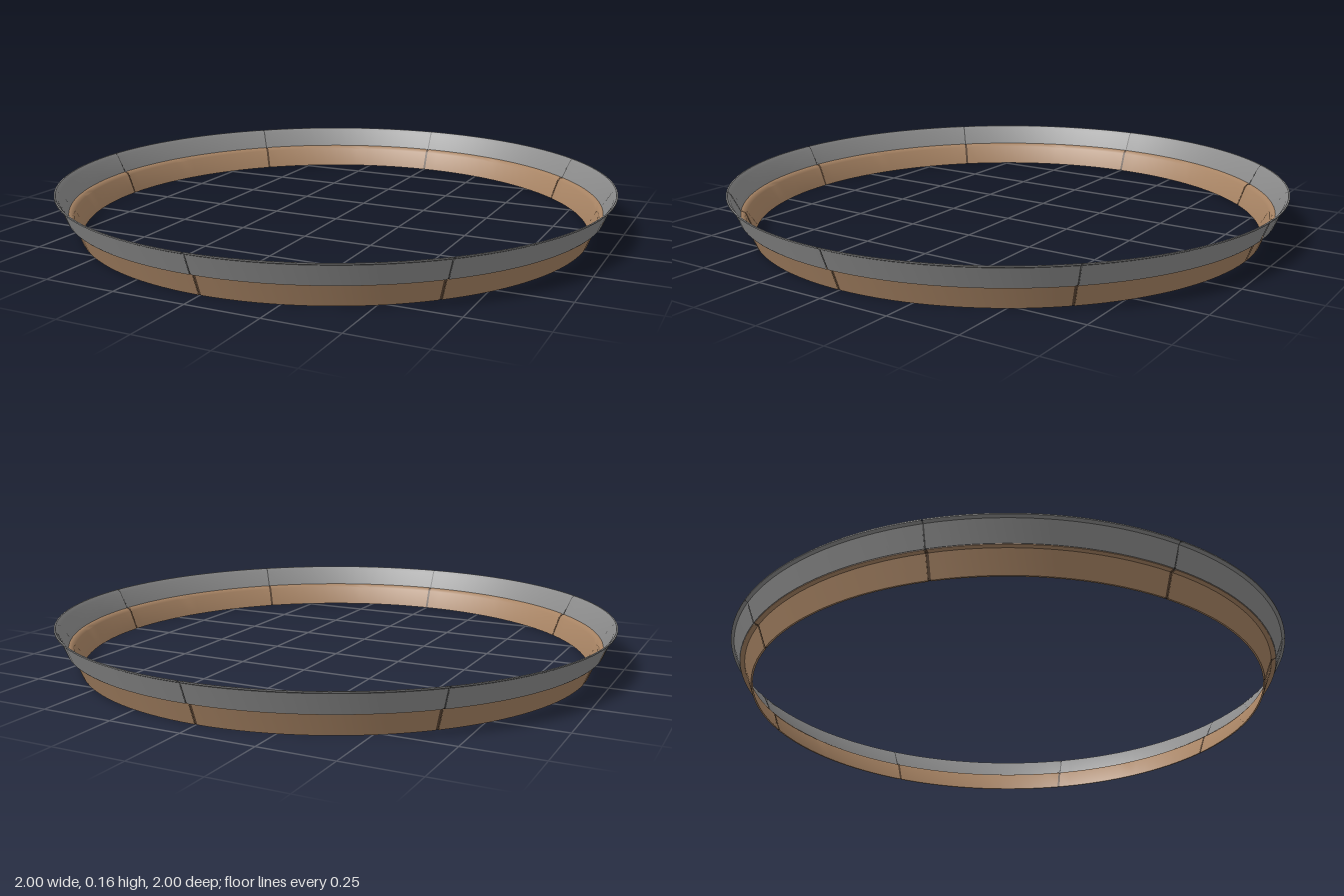
import * as THREE from 'three';
import { toCreasedNormals } from 'three/addons/utils/BufferGeometryUtils.js';

const SECTIONS = 8;
const STEP = (Math.PI * 2) / SECTIONS;

// Closed wall profiles [radius, height]: up the outside, down the inside
const BAND = [
  [0.91, 0], [0.916, 0], [0.945, 0.074], [0.96, 0.076], [0.96, 0.082],
  [0.953, 0.082], [0.945, 0.079], [0.937, 0.07], [0.91, 0],
];
const FLANGE = [
  [0.953, 0.078], [0.962, 0.078], [0.989, 0.146], [1, 0.151], [1, 0.155],
  [0.995, 0.155], [0.985, 0.143], [0.953, 0.078],
];
// Thin strips filling the gaps, slightly recessed in the walls
const BAND_JOINT = [
  [0.911, 0.001], [0.915, 0.001], [0.944, 0.075], [0.958, 0.077],
  [0.953, 0.081], [0.945, 0.078], [0.938, 0.07], [0.911, 0.001],
];
const FLANGE_JOINT = [
  [0.954, 0.079], [0.961, 0.079], [0.988, 0.146], [0.999, 0.151],
  [0.995, 0.154], [0.986, 0.143], [0.954, 0.079],
];

// Sweeps a profile around the y axis over part of a turn
function sweep(profile, start, length, segments) {
  const points = profile.map(([r, y]) => new THREE.Vector2(r, y));
  const lathe = new THREE.LatheGeometry(points, segments, start, length);
  return toCreasedNormals(lathe, Math.PI / 5);
}

export function createModel() {
  const model = new THREE.Group();
  model.name = 'segmentedRing';
  const paint = (color) => new THREE.MeshStandardMaterial({ color, side: THREE.DoubleSide });
  const grey = paint(0x8c8c8c);
  const tan = paint(0xa88464);
  const darkGrey = paint(0x4c4c4c);
  const darkTan = paint(0x5a4432);

  // One wall section and the joint at its start
  const addSection = (name, profile, material, jointProfile, jointMaterial, start, gap) => {
    const wall = new THREE.Mesh(sweep(profile, start + gap / 2, STEP - gap, 16), material);
    wall.name = name;
    const joint = new THREE.Mesh(sweep(jointProfile, start - gap / 2, gap, 1), jointMaterial);
    joint.name = name + 'Joint';
    model.add(wall, joint);
  };

  for (let i = 0; i < SECTIONS; i++) {
    const start = i * STEP;
    // Lower tan band, then the flared grey flange above it
    addSection('lowerBand', BAND, tan, BAND_JOINT, darkTan, start, 0.01);
    addSection('upperFlange', FLANGE, grey, FLANGE_JOINT, darkGrey, start, 0.005);
  }
  return model;
}
